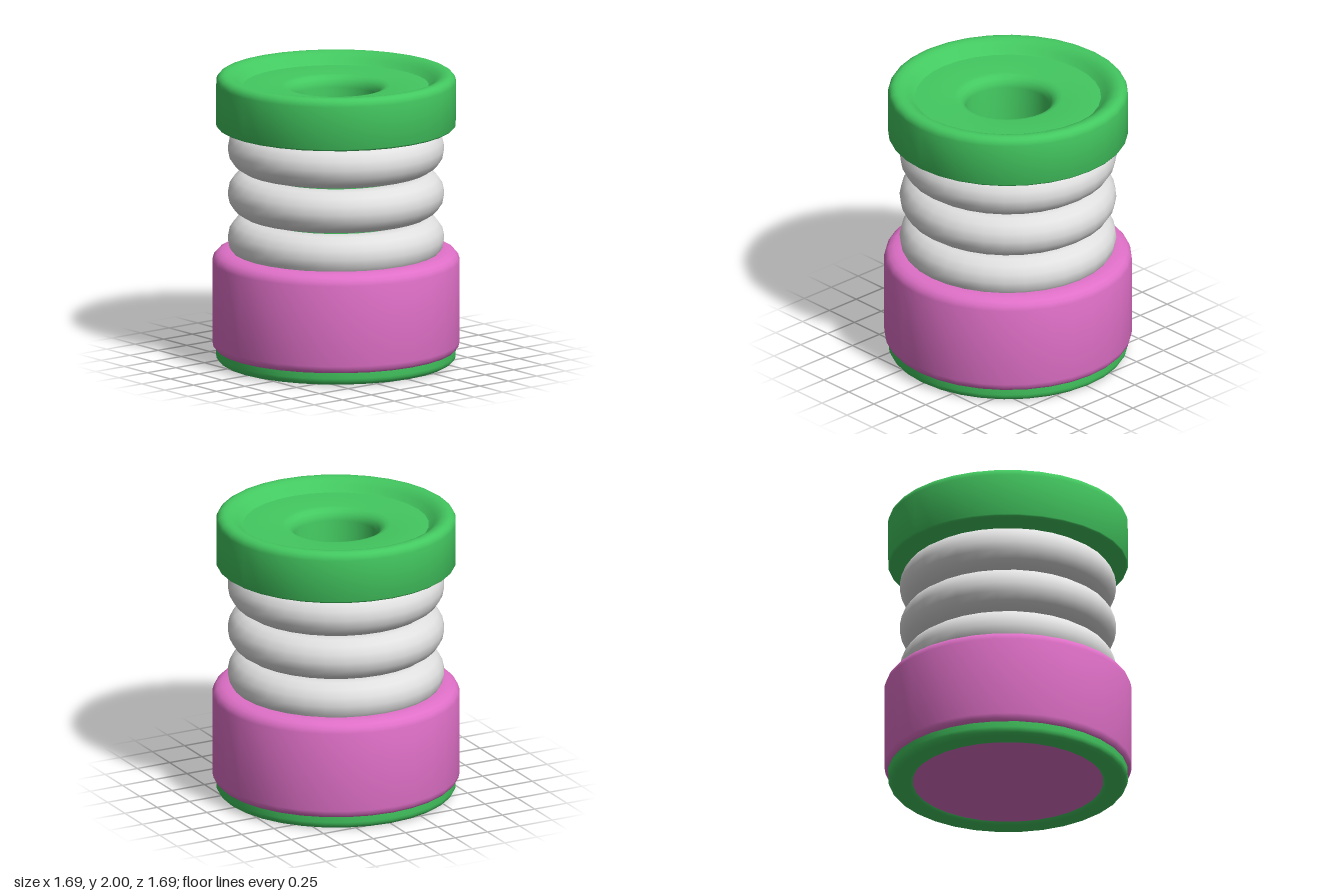
import * as THREE from 'three';
import { toCreasedNormals } from 'three/addons/utils/BufferGeometryUtils.js';

const SIDES = 32;
const material = (name, color) => {
  const m = new THREE.MeshStandardMaterial({ color });
  m.name = name;
  return m;
};

// Quarter-circle corner points around (cx, cy), from angle a to a + 90 degrees
function corner(cx, cy, r, a, steps = 4) {
  return Array.from({ length: steps + 1 }, (_, i) => {
    const t = THREE.MathUtils.degToRad(a + (90 * i) / steps);
    return [cx + r * Math.cos(t), cy + r * Math.sin(t)];
  });
}

export function createModel() {
  const group = new THREE.Group();
  const green = material('green', 0x43c860);
  const pink = material('pink', 0xe070c8);
  const white = material('white', 0xe0e0e0);

  const add = (name, geometry, mat, y = 0) => {
    const mesh = new THREE.Mesh(geometry, mat);
    mesh.name = name;
    mesh.position.y = y;
    group.add(mesh);
    return mesh;
  };
  // Profiles run upward on the outside so that faces point outward
  const lathe = (name, points, mat) => {
    const profile = points.map(([x, y]) => new THREE.Vector2(x, y));
    return add(name, toCreasedNormals(new THREE.LatheGeometry(profile, SIDES), 0.75), mat);
  };

  // Top cap: rounded outer wall and a lip sloping in to the dished face
  lathe('topCap', [
    [0.43, 1.635], ...corner(0.795, 1.66, 0.025, -90),
    ...corner(0.765, 1.945, 0.055, 0),
    [0.735, 1.996], [0.705, 1.982], [0.675, 1.957], [0.65, 1.932], [0.635, 1.92],
  ], green);

  // Dished face with a softly rounded hole running down the core
  lathe('dishAndHole', [
    [0.635, 1.92], [0.37, 1.92],
    ...corner(0.37, 1.84, 0.08, 90).slice(1),
    [0.29, 0.77],
  ], green);

  // Core tube seen in the gaps between the rings
  add('core', new THREE.CylinderGeometry(0.44, 0.44, 0.94, SIDES, 1, true), green, 1.19);

  // Three stacked bellows rings
  for (const y of [0.858, 1.17, 1.482]) {
    const ring = new THREE.TorusGeometry(0.588, 0.152, 16, SIDES);
    ring.rotateX(Math.PI / 2);
    add('bellowsRing', ring, white, y);
  }

  // Sleeve with rounded ends; its closed top is the floor of the hole
  lathe('sleeve', [
    [0.8, 0.085], [0.82, 0.09], [0.838, 0.11], [0.845, 0.14],
    [0.845, 0.7], [0.836, 0.73], [0.815, 0.753], [0.78, 0.77], [0.73, 0.775], [0, 0.775],
  ], pink);

  // Bottom foot ring and the disc set into it
  lathe('footRing', [
    [0.65, 0.02], [0.66, 0.006], [0.68, 0], ...corner(0.77, 0.05, 0.05, -90), [0.82, 0.12],
  ], green);
  const disc = new THREE.CircleGeometry(0.655, SIDES);
  disc.rotateX(Math.PI / 2);
  add('footDisc', disc, pink, 0.018);

  return group;
}
